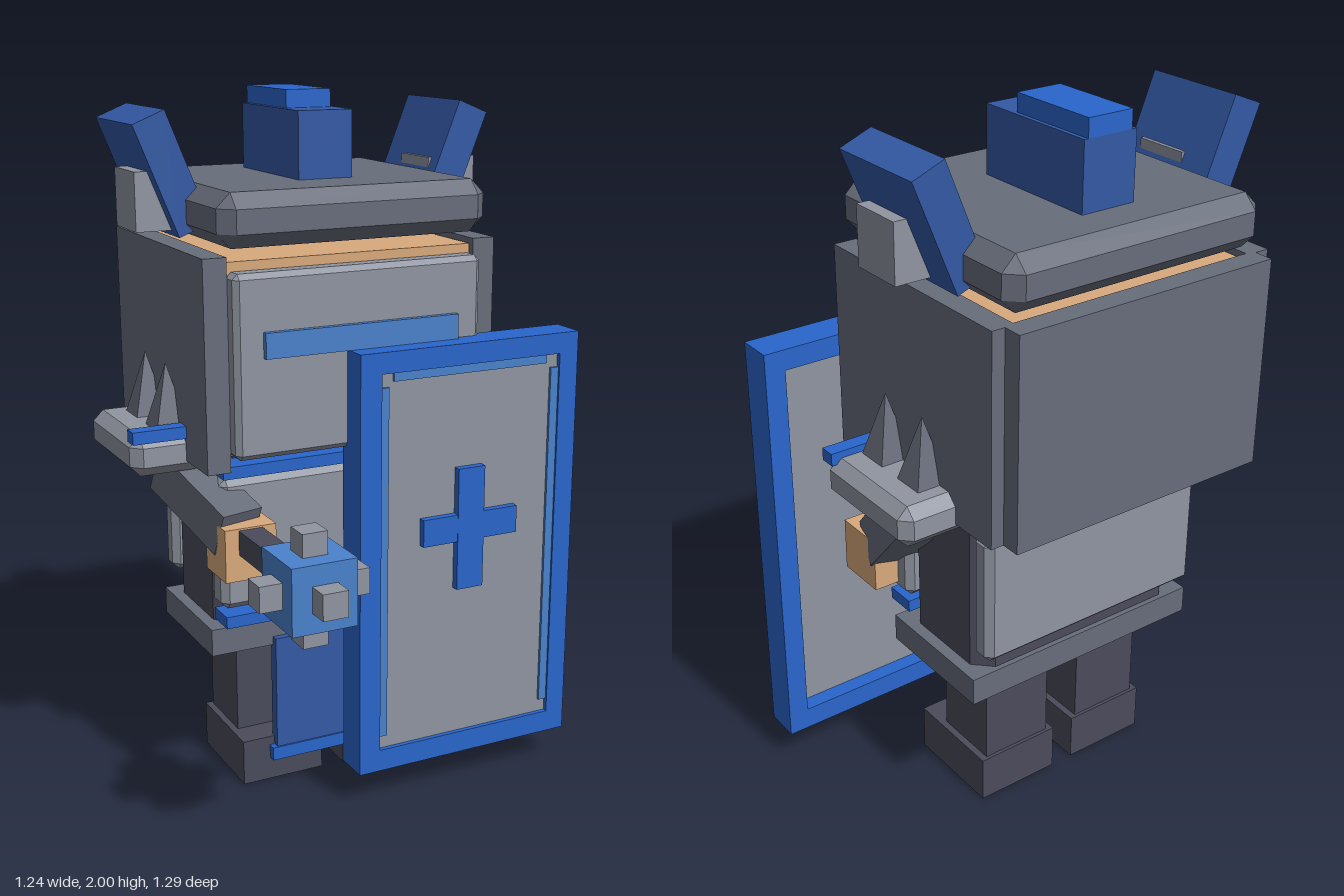
import * as THREE from 'three';
import { ConvexGeometry } from 'three/addons/geometries/ConvexGeometry.js';

const mat = (name, color) => Object.assign(new THREE.MeshStandardMaterial({ color, flatShading: true }), { name });

export function createModel() {
  const lightSteel = mat('light steel', 0x9095a1);
  const steel = mat('steel', 0x686d7b);
  const darkSteel = mat('dark steel', 0x4a4b5b);
  const blue = mat('blue', 0x2966cc);
  const deepBlue = mat('deep blue', 0x3359a5);
  const paleBlue = mat('pale blue', 0x4a82cc);
  const skin = mat('skin', 0xd9aa7c);

  const model = new THREE.Group();
  model.name = 'armouredGuard';
  const CX = -0.035; // centre line of the body

  const group = (name) => {
    const g = new THREE.Group();
    g.name = name;
    model.add(g);
    return g;
  };
  const add = (parent, name, geometry, material) => {
    const m = new THREE.Mesh(geometry, material);
    m.name = name;
    parent.add(m);
    return m;
  };
  // Box from its ranges; a chamfer c cuts all edges
  const box = (parent, name, material, [x0, x1], [y0, y1], [z0, z1], c = 0) => {
    const w = x1 - x0, h = y1 - y0, d = z1 - z0;
    let geo;
    if (c) {
      const pts = [];
      for (const sx of [-1, 1]) for (const sy of [-1, 1]) for (const sz of [-1, 1]) {
        for (let k = 0; k < 3; k++) {
          const i = [c, c, c];
          i[k] = 0;
          pts.push(new THREE.Vector3(sx * (w / 2 - i[0]), sy * (h / 2 - i[1]), sz * (d / 2 - i[2])));
        }
      }
      geo = new ConvexGeometry(pts);
    } else geo = new THREE.BoxGeometry(w, h, d);
    const m = add(parent, name, geo, material);
    m.position.set((x0 + x1) / 2, (y0 + y1) / 2, (z0 + z1) / 2);
    return m;
  };
  // Range of x, given outward from the centre line, on one side
  const side = (s, a, b) => (s > 0 ? [CX + a, CX + b] : [CX - b, CX - a]);

  // Head and helmet
  const helmet = group('helmet');
  box(helmet, 'head', skin, [-0.4, 0.33], [1.08, 1.585], [-0.58, 0.08]);
  box(helmet, 'backPlate', steel, [-0.43, 0.365], [1.02, 1.6], [-0.645, -0.58]);
  box(helmet, 'facePlate', lightSteel, [-0.405, 0.335], [1.06, 1.56], [0.07, 0.14], 0.015);
  box(helmet, 'visorStripe', paleBlue, [-0.325, 0.255], [1.335, 1.405], [0.13, 0.157]);
  box(helmet, 'cap', steel, [-0.43, 0.365], [1.62, 1.765], [-0.615, 0.13], 0.04);
  box(helmet, 'crest', deepBlue, [-0.115, 0.047], [1.75, 1.95], [-0.47, -0.085]);
  box(helmet, 'crestCap', blue, [-0.1, 0.035], [1.95, 2.0], [-0.47, -0.195]);
  for (const s of [-1, 1]) {
    box(helmet, 'sidePlate', steel, side(s, 0.37, 0.437), [1.02, 1.6], [-0.59, 0.093]);
    box(helmet, 'earBlock', lightSteel, side(s, 0.37, 0.522), [1.64, 1.8], [-0.325, -0.165]);
    const wing = add(helmet, 'wing', new THREE.BoxGeometry(0.097, 0.325, 0.305), deepBlue);
    wing.position.set(CX + s * 0.431, 1.793, -0.275);
    wing.rotation.z = -s * 0.384;
  }

  // Torso: an upright prism with cut corners
  const torso = group('torso');
  const hw = 0.345, hd = 0.17, cut = 0.05;
  const outline = new THREE.Shape([
    [-hw + cut, -hd], [hw - cut, -hd], [hw, -hd + cut], [hw, hd - cut],
    [hw - cut, hd], [-hw + cut, hd], [-hw, hd - cut], [-hw, -hd + cut],
  ].map(([x, y]) => new THREE.Vector2(x, y)));
  const core = add(torso, 'core', new THREE.ExtrudeGeometry(outline, { depth: 0.59, bevelEnabled: false }), darkSteel);
  core.rotation.x = -Math.PI / 2;
  core.position.set(CX, 0.42, -0.25);
  box(torso, 'neck', darkSteel, [-0.35, 0.28], [1.0, 1.09], [-0.4, -0.1]);
  box(torso, 'chestPlate', lightSteel, [-0.395, 0.325], [0.58, 0.965], [-0.1, -0.01], 0.02);
  box(torso, 'rearPlate', lightSteel, [-0.395, 0.325], [0.57, 0.95], [-0.475, -0.4], 0.02);
  box(torso, 'upperBand', blue, [-0.39, 0.32], [0.97, 1.005], [-0.09, 0]);
  box(torso, 'lowerBand', blue, [-0.39, 0.32], [0.53, 0.565], [-0.09, 0]);
  box(torso, 'belt', steel, [-0.415, 0.345], [0.43, 0.51], [-0.435, -0.055]);
  box(torso, 'loincloth', deepBlue, [-0.225, 0.155], [0.1, 0.455], [-0.07, -0.035]);
  box(torso, 'loinclothTrim', blue, [-0.24, 0.17], [0.07, 0.11], [-0.055, -0.03]);

  // Legs and shoulder pads, mirrored
  for (const s of [-1, 1]) {
    const leg = group(s > 0 ? 'leftLeg' : 'rightLeg');
    box(leg, 'shin', darkSteel, side(s, 0.055, 0.27), [0.13, 0.425], [-0.345, -0.145]);
    box(leg, 'foot', darkSteel, side(s, 0.035, 0.29), [0, 0.137], [-0.355, -0.055]);

    const pad = group(s > 0 ? 'leftShoulder' : 'rightShoulder');
    box(pad, 'shoulderPad', lightSteel, side(s, 0.32, 0.59), [0.985, 1.1], [-0.44, -0.065], 0.03);
    box(pad, 'shoulderTrim', blue, side(s, 0.43, 0.59), [1.085, 1.12], [-0.105, -0.06]);
    for (const z of [-0.16, -0.325]) {
      const spike = add(pad, 'spike', new THREE.ConeGeometry(0.07, 0.19, 4, 1).rotateY(Math.PI / 4), steel);
      spike.position.set(CX + s * 0.455, 1.185, z);
    }
  }

  // Arms: square bars running from the shoulder to the hand
  const arm = (name, from, to) => {
    const a = new THREE.Vector3(...from), b = new THREE.Vector3(...to);
    const m = add(model, name, new THREE.BoxGeometry(0.13, 0.13, a.distanceTo(b)), steel);
    m.position.copy(a).lerp(b, 0.5);
    m.lookAt(b);
  };
  arm('leftArm', [0.39, 0.96, -0.235], [0.33, 0.73, 0.0]);
  arm('rightArm', [-0.45, 0.96, -0.235], [-0.375, 0.84, 0.06]);
  box(model, 'leftHand', skin, [0.25, 0.4], [0.61, 0.765], [-0.045, 0.11]);
  box(model, 'rightHand', skin, [-0.44, -0.29], [0.72, 0.87], [-0.015, 0.125]);

  // Mace held forward in the right hand
  const mace = group('mace');
  box(mace, 'shaft', darkSteel, [-0.4, -0.33], [0.795, 0.865], [-0.02, 0.42]);
  box(mace, 'maceHead', paleBlue, [-0.455, -0.275], [0.74, 0.92], [0.405, 0.585]);
  const r = 0.035, reach = 0.152, mx = -0.365, my = 0.83, mz = 0.495;
  box(mace, 'sideStuds', lightSteel, [mx - reach, mx + reach], [my - r, my + r], [mz - r, mz + r]);
  box(mace, 'uprightStuds', lightSteel, [mx - r, mx + r], [my - reach, my + reach], [mz - r, mz + r]);
  box(mace, 'frontStud', lightSteel, [mx - r, mx + r], [my - r, my + r], [mz, 0.645]);

  // Shield: thick frame, recessed panel, inner trim and a cross
  const shield = group('shield');
  const rect = (T, x0, x1, y0, y1) => new T([[x0, y0], [x1, y0], [x1, y1], [x0, y1]].map(([x, y]) => new THREE.Vector2(x, y)));
  const frame = rect(THREE.Shape, -0.08, 0.615, 0.1, 1.335);
  frame.holes.push(rect(THREE.Path, -0.015, 0.555, 0.165, 1.275));
  add(shield, 'frame', new THREE.ExtrudeGeometry(frame, { depth: 0.105, bevelEnabled: false }), blue).position.z = 0.113;
  box(shield, 'panel', lightSteel, [-0.015, 0.555], [0.165, 1.275], [0.16, 0.204]);
  box(shield, 'leftTrim', paleBlue, [0.53, 0.555], [0.205, 1.235], [0.203, 0.212]);
  box(shield, 'rightTrim', paleBlue, [-0.015, 0.01], [0.205, 1.235], [0.203, 0.212]);
  box(shield, 'topTrim', paleBlue, [0.025, 0.515], [1.25, 1.275], [0.203, 0.212]);
  box(shield, 'crossBar', blue, [0.115, 0.42], [0.765, 0.845], [0.2, 0.226]);
  box(shield, 'crossPost', blue, [0.225, 0.31], [0.62, 0.98], [0.2, 0.227]);

  return model;
}
